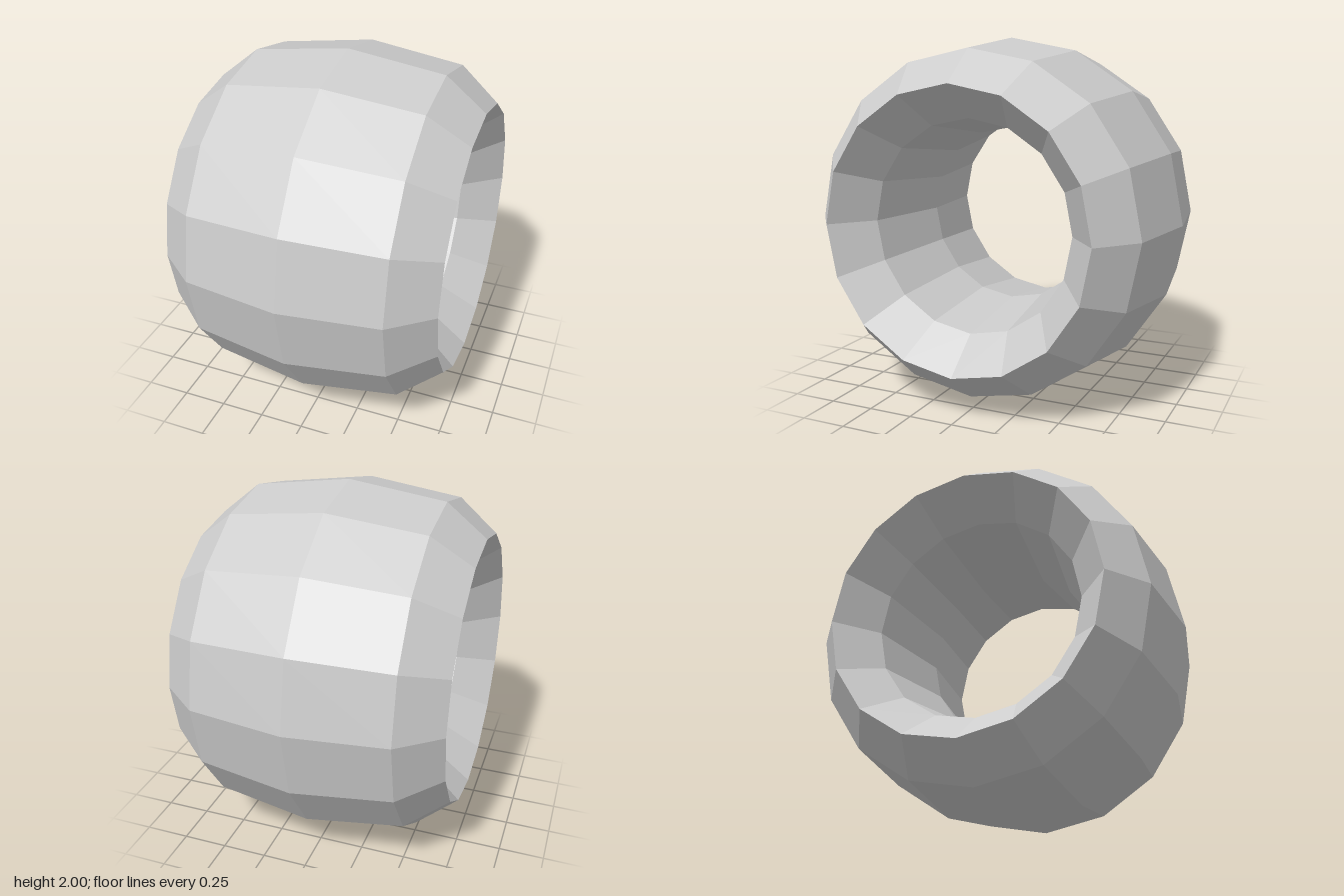
import * as THREE from 'three';

export function createModel() {
  const group = new THREE.Group();
  group.name = 'ringBead';

  // Low-poly ring, stretched along its axis into a barrel-shaped bead
  const geometry = new THREE.TorusGeometry(0.75, 0.25, 8, 16);
  geometry.scale(1, 1, 3);
  geometry.rotateY(Math.PI / 2);
  geometry.translate(0, 1, 0);
  geometry.computeVertexNormals();

  const material = new THREE.MeshStandardMaterial({ color: 0xcccccc, flatShading: true });
  const ring = new THREE.Mesh(geometry, material);
  ring.name = 'ring';
  group.add(ring);

  return group;
}
